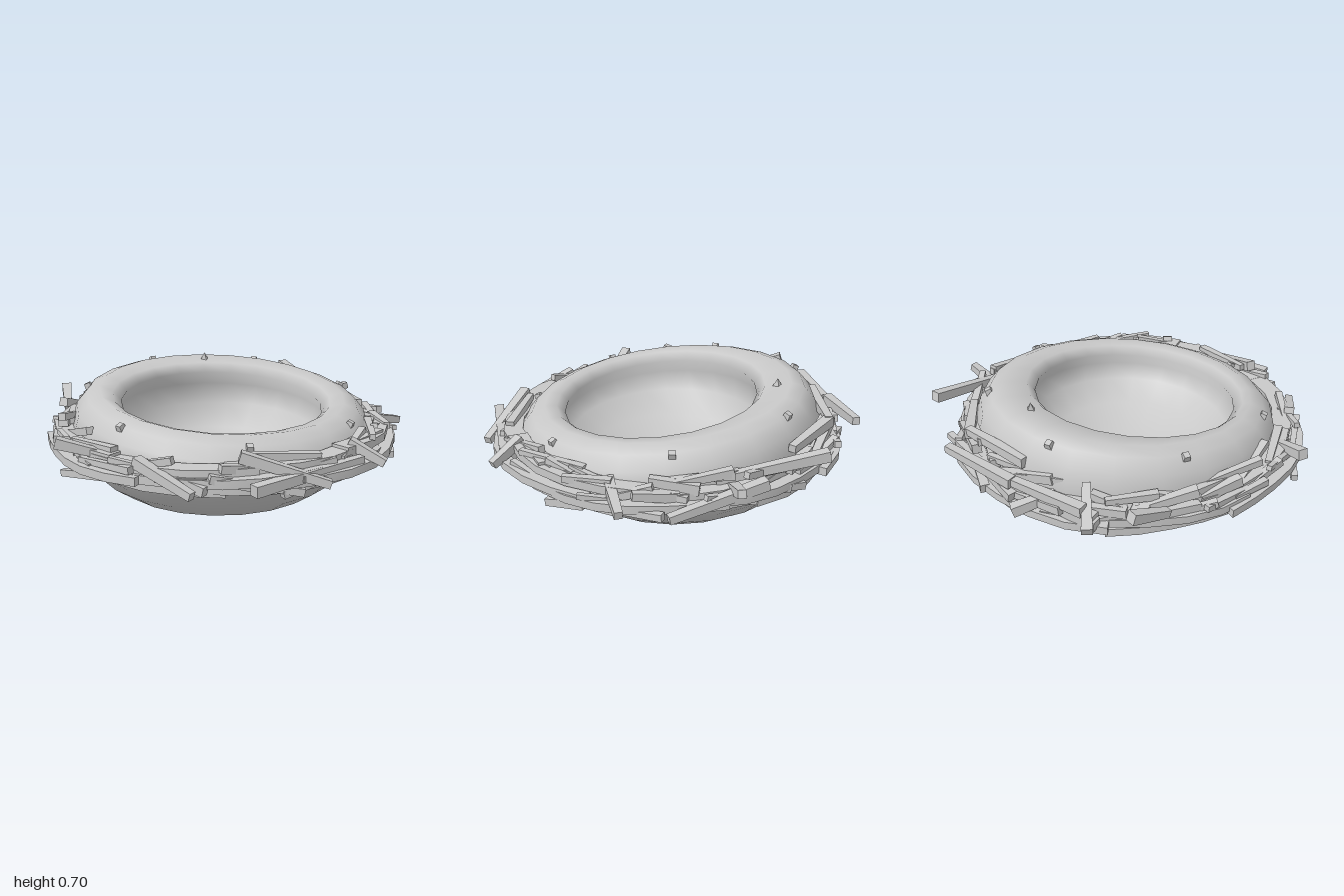
import * as THREE from 'three';
import { mergeVertices } from 'three/addons/utils/BufferGeometryUtils.js';

// small seeded random generator
function seeded(seed) {
  return () => {
    seed = (seed * 16807) % 2147483647;
    return seed / 2147483647;
  };
}

export function createModel() {
  const nest = new THREE.Group();
  nest.name = 'nest';
  const grey = new THREE.MeshStandardMaterial({ color: 0xc8c8c8 });
  grey.name = 'straw grey';
  const rand = seeded(4711);
  const range = (a, b) => a + (b - a) * rand();

  function add(parent, geometry, name) {
    const mesh = new THREE.Mesh(geometry, grey);
    mesh.name = name;
    parent.add(mesh);
    return mesh;
  }
  function group(name) {
    const g = new THREE.Group();
    g.name = name;
    nest.add(g);
    return g;
  }

  // bowl: thick rounded rim, undercut hollow inside, rim rising towards the back
  const profile = [
    [0, 0], [0.22, 0.004], [0.4, 0.03], [0.55, 0.085], [0.66, 0.16], [0.74, 0.24], [0.79, 0.34],
    [0.81, 0.43], [0.785, 0.52], [0.73, 0.585], [0.66, 0.612], [0.59, 0.595], [0.545, 0.55],
    [0.575, 0.48], [0.54, 0.38], [0.42, 0.27], [0.22, 0.195], [0, 0.175],
  ].map(([r, y]) => new THREE.Vector2(r, y));
  let bowl = new THREE.LatheGeometry(profile, 22);
  const p = bowl.attributes.position;
  for (let i = 0; i < p.count; i++) {
    const x = p.getX(i), y = p.getY(i), z = p.getZ(i);
    const rise = THREE.MathUtils.smoothstep(y, 0.2, 0.58);
    const inner = Math.hypot(x, z) < 0.6 ? rise : 0;
    p.setXYZ(i, x - 0.02 * inner, y - 0.108 * z * rise, z * (1 - 0.05 * inner) - 0.035 * (1 - rise) + 0.035 * inner);
  }
  bowl.deleteAttribute('normal');
  bowl.deleteAttribute('uv');
  bowl = mergeVertices(bowl, 1e-4);
  bowl.computeVertexNormals();
  add(nest, bowl, 'bowl');

  // straight twig between two points, slightly thinner at one end
  function stick(parent, from, to, w, name) {
    const g = new THREE.CylinderGeometry(w * 0.55, w * 0.75, from.distanceTo(to), 4).toNonIndexed();
    g.rotateY(Math.PI / 4);
    g.rotateX(Math.PI / 2);
    g.computeVertexNormals();
    const mesh = add(parent, g, name);
    mesh.position.addVectors(from, to).multiplyScalar(0.5);
    mesh.lookAt(to);
  }

  // twig bent around the bowl
  function bentTwig(parent, r, start, sweep, y, lift, w) {
    const g = new THREE.BoxGeometry(w, 0.042, 1, 1, 1, 6);
    const q = g.attributes.position;
    for (let i = 0; i < q.count; i++) {
      const t = q.getZ(i);
      const a = start + t * sweep;
      const rr = r + q.getX(i) + 0.012 * Math.sin(t * 7 + start);
      q.setXYZ(i, rr * Math.cos(a), y + q.getY(i) + t * lift, rr * Math.sin(a));
    }
    g.computeVertexNormals();
    add(parent, g, 'bentTwig');
  }

  // long twigs forming a closed belt in three levels
  const belt = group('twigBelt');
  for (let i = 0; i < 21; i++) {
    const level = i % 3;
    bentTwig(belt, (level === 1 ? 0.895 : 0.825) + range(-0.02, 0.02), i * Math.PI * 2 / 21 + range(-0.1, 0.1),
      range(0.95, 1.4), 0.345 + level * 0.045 + range(-0.01, 0.01), range(-0.04, 0.04), level === 1 ? 0.06 : 0.1);
  }

  // loose twigs woven around the belt, the inner ones lying higher
  const loose = group('looseTwigs');
  for (let i = 0; i < 84; i++) {
    const a = i * Math.PI / 42 + range(-0.06, 0.06);
    const r = range(0.8, 0.9);
    const y = 0.4 + (0.9 - r) * 0.8 + range(-0.04, 0.04) - 0.035 * Math.sin(a);
    const turn = a + Math.PI / 2 + range(-0.3, 0.3);
    const middle = new THREE.Vector3(r * Math.cos(a), y, r * Math.sin(a));
    const reach = new THREE.Vector3(Math.cos(turn), range(-0.3, 0.3), Math.sin(turn)).multiplyScalar(range(0.09, 0.19));
    stick(loose, middle.clone().sub(reach), middle.clone().add(reach), range(0.032, 0.05), 'twig');
  }

  // prominent twigs that stick out: both ends as x, y, z
  const outer = group('outerTwigs');
  [
    [-0.07, 0.42, -0.98, -0.2, 0.48, -0.82],
    [-0.4, 0.5, -0.86, 0.02, 0.5, -0.89],
    [0, 0.5, -0.9, 0.41, 0.54, -0.92],
    [0, 0.56, -0.8, 0.42, 0.56, -0.77],
    [0.4, 0.55, -0.78, 0.64, 0.52, -0.52],
    [0.8, 0.56, -0.65, 0.79, 0.46, -0.12],
    [0.79, 0.42, -0.2, 0.99, 0.49, -0.2],
    [0.85, 0.46, -0.35, 0.96, 0.37, 0.12],
    [0.7, 0.45, 0.37, 0.95, 0.4, 0.34],
    [0.27, 0.48, 0.78, 0.38, 0.4, 0.92],
    [-0.35, 0.39, 0.93, 0.28, 0.42, 0.87],
    [-0.33, 0.5, 0.77, 0.03, 0.37, 0.97],
    [-0.98, 0.49, 0.14, -0.78, 0.43, 0.24],
    [-0.72, 0.46, 0.5, -0.58, 0.36, 0.79],
    [-0.46, 0.44, -0.91, -0.32, 0.54, -0.74],
    [-0.62, 0.53, -0.8, -0.68, 0.46, -0.6],
  ].forEach((s) => stick(outer, new THREE.Vector3(...s), new THREE.Vector3().fromArray(s, 3), 0.05, 'outerTwig'));

  // twig ends poking through the rim
  const stubs = group('rimStubs');
  for (let i = 0; i < 7; i++) {
    const a = 0.1 + i * Math.PI * 2 / 7;
    const tip = new THREE.Vector3(0.74 * Math.cos(a), 0.595 - 0.08 * Math.sin(a), 0.74 * Math.sin(a));
    const root = new THREE.Vector3(tip.x * 0.96, tip.y - 0.07, tip.z * 0.96);
    stick(stubs, root, tip, 0.04, 'stub');
  }
  const spike = add(stubs, new THREE.ConeGeometry(0.05, 0.08, 4), 'spike');
  spike.position.set(0.18, 0.665, -0.56);

  return nest;
}
